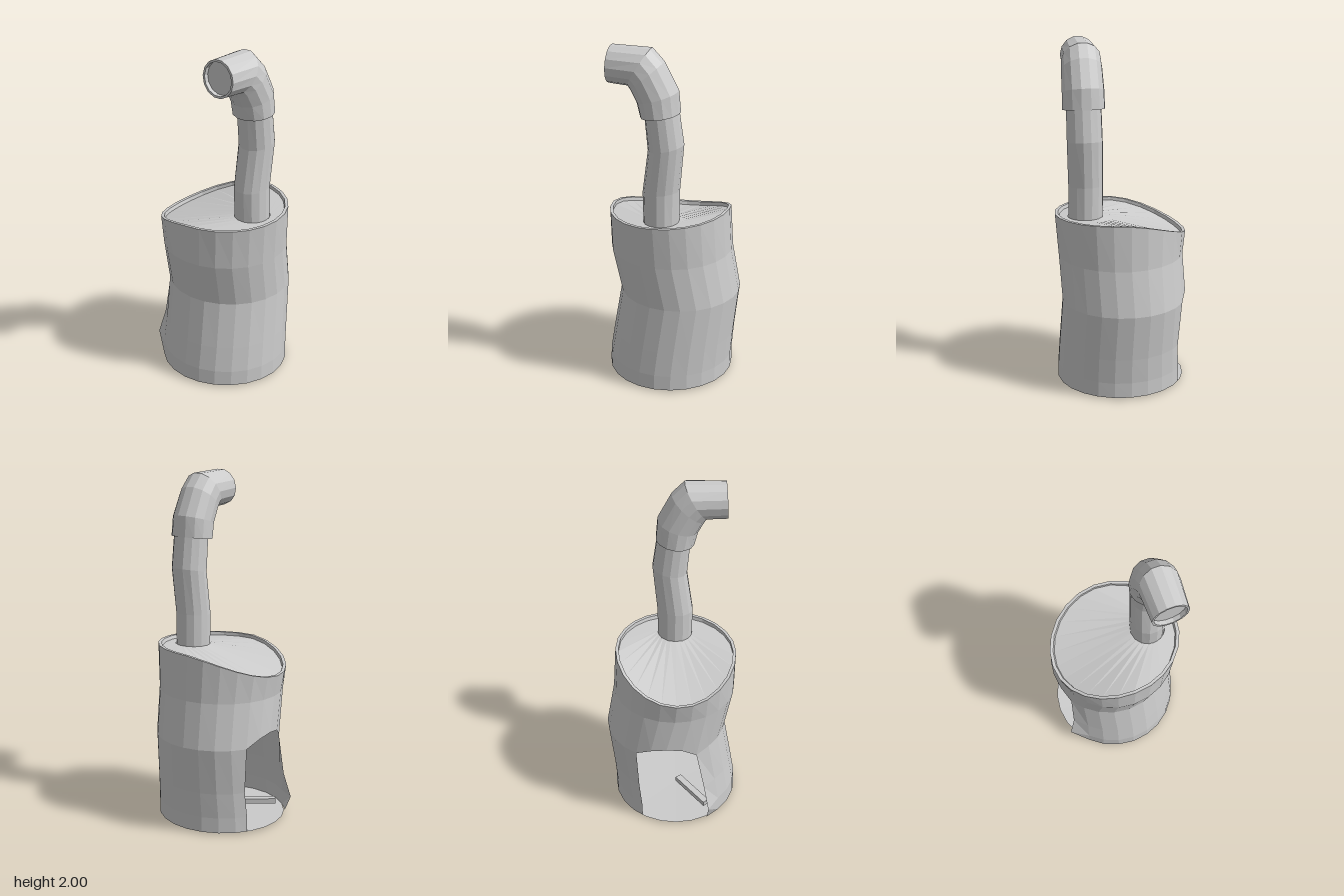
import * as THREE from 'three';

const metal = new THREE.MeshStandardMaterial({ color: 0xcccccc, flatShading: true, side: THREE.DoubleSide });
const V = (x, y, z) => new THREE.Vector3(x, y, z);

// Skin a list of closed rings; skip(row, column) leaves a gap in the skin.
function loft(name, rings, skip = () => false) {
  const pos = [];
  for (let r = 0; r < rings.length - 1; r++) {
    const A = rings[r], B = rings[r + 1], n = A.length;
    for (let i = 0; i < n; i++) {
      if (skip(r, i)) continue;
      const j = (i + 1) % n;
      for (const p of [A[i], B[i], B[j], A[i], B[j], A[j]]) pos.push(p.x, p.y, p.z);
    }
  }
  const g = new THREE.BufferGeometry();
  g.setAttribute('position', new THREE.Float32BufferAttribute(pos, 3));
  g.computeVertexNormals();
  const mesh = new THREE.Mesh(g, metal);
  mesh.name = name;
  return mesh;
}

// Scale a ring about its centre and shift it; scale 0 closes it to a point.
function inset(ring, s, shift) {
  const c = ring.reduce((a, p) => a.add(p), V(0, 0, 0)).divideScalar(ring.length);
  return ring.map(p => p.clone().sub(c).multiplyScalar(s).add(c).add(shift));
}

// Pipe section given by its back and front points (y, z), its centre x and half width.
function section([yb, zb, yf, zf, cx, w], n = 14) {
  return Array.from({ length: n }, (_, i) => {
    const a = i / n * Math.PI * 2, s = Math.sin(a);
    return V(cx + w * Math.cos(a), (yb + yf) / 2 + s * (yf - yb) / 2, (zb + zf) / 2 + s * (zf - zb) / 2);
  });
}

const SIDES = 24;
const rimHeight = (x, z) => 1.028 - 0.04 * z - 0.125 * Math.pow(Math.max(0, (0.05 - x) / 0.43), 1.7);

// Dented drum section: height (null = sagging rim), centre and radii.
function drumRing([y, cx, cz, rx, rz]) {
  return Array.from({ length: SIDES }, (_, i) => {
    const a = i / SIDES * Math.PI * 2;
    const x = cx + rx * Math.cos(a), z = cz + rz * Math.sin(a);
    return V(x, y === null ? rimHeight(x, z) : y, z);
  });
}

export function createModel() {
  const model = new THREE.Group();

  // Drum wall with a torn opening on the -x side
  const wall = [
    [0.01, 0, 0.02, 0.375, 0.365],
    [0.1, 0, 0.018, 0.374, 0.363],
    [0.25, 0, 0, 0.366, 0.357],
    [0.52, -0.01, -0.037, 0.36, 0.349],
    [0.78, 0, 0.012, 0.362, 0.353],
    [null, 0, 0.022, 0.38, 0.348],
  ].map(drumRing);
  const floorRing = wall[0].map(p => p.clone());
  // arched top of the opening
  [11, 12, 13].forEach(i => { wall[3][i].y = i === 12 ? 0.58 : 0.565; });
  wall[3][10].y = 0.5;
  // front edge of the opening bent outward
  wall[0][10].set(-0.33, 0.01, 0.205);
  wall[1][10].set(-0.365, 0.1, 0.212);
  wall[2][10].set(-0.33, 0.25, 0.185);
  // back edge of the opening curled in
  for (let r = 0; r < 3; r++) { wall[r][14].x += 0.015; wall[r][14].z -= 0.02; }
  model.add(loft('drumWall', wall, (r, i) => r < 3 && i >= 10 && i <= 13));

  // Drum floor
  model.add(loft('drumFloor', [inset(floorRing, 0, V(0, 0, 0)).map(p => p.setY(0)), floorRing]));

  // Rolled rim and sagging lid that runs to the pipe foot
  const top = wall[5];
  const rimIn = top.map(p => V(p.x * 0.95, p.y, 0.022 + (p.z - 0.022) * 0.95));
  const lidEdge = rimIn.map(p => V(p.x * 0.98, p.y - 0.02, p.z));
  model.add(loft('drumRim', [top, rimIn, lidEdge]));
  const foot = section([1.01, -0.08, 1.005, 0.12, 0.205, 0.1], SIDES);
  model.add(loft('drumLid', [lidEdge, foot]));

  // Bent flue pipe
  model.add(loft('fluePipe', [
    [0.98, -0.08, 0.98, 0.12, 0.203, 0.1],
    [1.2, -0.085, 1.18, 0.125, 0.2, 0.1],
    [1.47, -0.11, 1.43, 0.09, 0.207, 0.102],
    [1.68, -0.08, 1.65, 0.11, 0.208, 0.1],
  ].map(p => section(p))));

  // Elbow sleeve with a recessed mouth
  const elbow = [
    [1.65, -0.09, 1.62, 0.13, 0.207, 0.122],
    [1.77, -0.08, 1.7, 0.15, 0.207, 0.12],
    [1.925, 0, 1.765, 0.185, 0.205, 0.117],
    [1.998, 0.07, 1.785, 0.2, 0.202, 0.113],
    [2.0, 0.3, 1.79, 0.31, 0.195, 0.103],
  ].map(p => section(p));
  const mouth = inset(elbow[4], 0.88, V(0, 0, 0));
  const deep = inset(mouth, 1, V(0, 0, -0.025));
  model.add(loft('flueElbow', [
    inset(elbow[0], 0.8, V(0, 0, 0)), ...elbow, mouth, deep, inset(deep, 0, V(0, 0, 0)),
  ]));

  // Loose bar lying inside the opening
  const bar = new THREE.Mesh(new THREE.BoxGeometry(0.28, 0.03, 0.04), metal);
  bar.name = 'innerBar';
  bar.position.set(-0.15, 0.06, 0.12);
  bar.rotation.y = Math.PI / 5;
  model.add(bar);

  return model;
}
